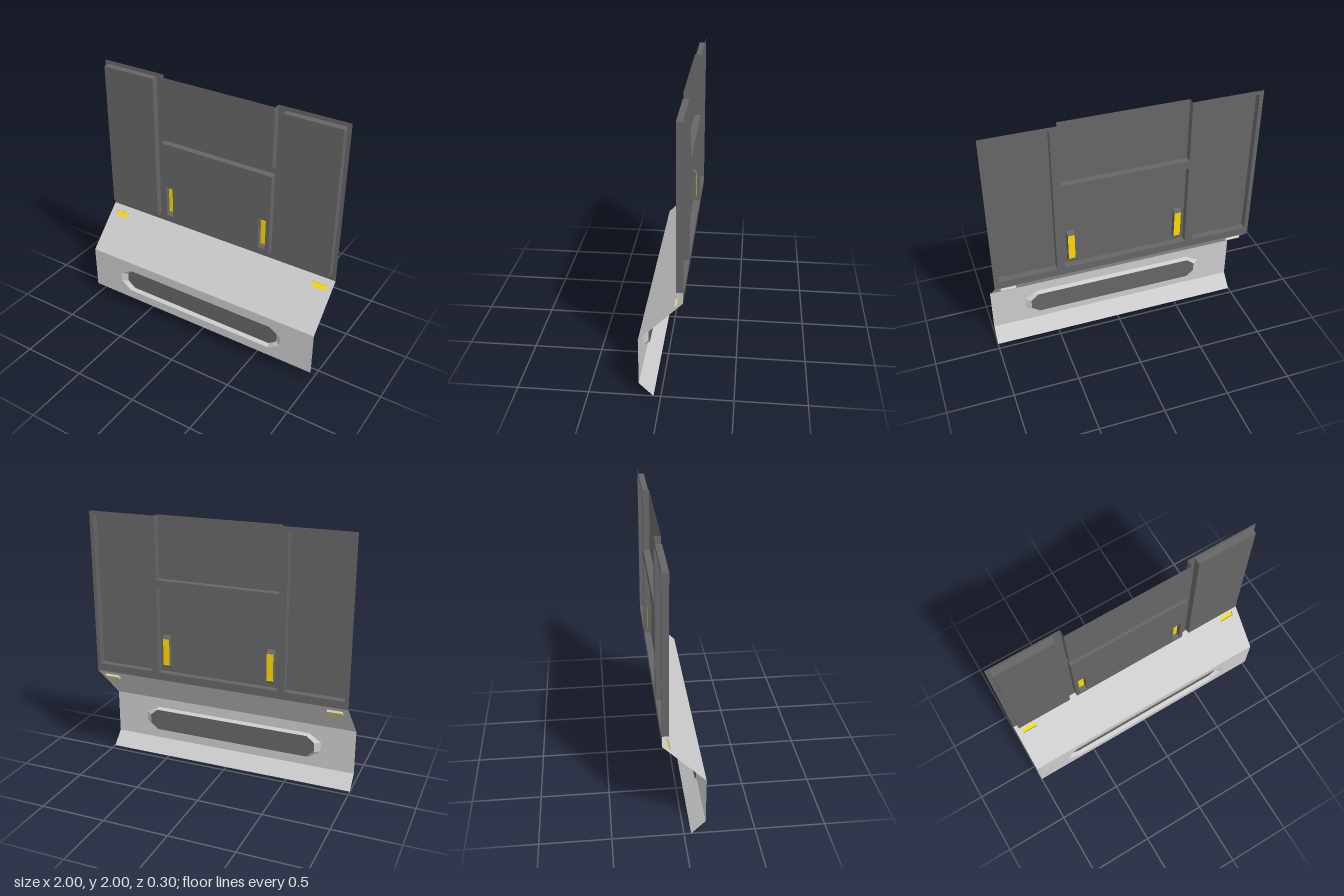
import * as THREE from 'three';

const paint = (color) => new THREE.MeshStandardMaterial({ color, side: THREE.DoubleSide });

// Corner lists in the plane of a sheet, counter-clockwise
const rect = (x0, y0, x1, y1) => [[x0, y0], [x1, y0], [x1, y1], [x0, y1]];
const octagon = (w, h, cutW, cutH, cy) => [
  [-w + cutW, cy - h], [w - cutW, cy - h], [w, cy - h + cutH], [w, cy + h - cutH],
  [w - cutW, cy + h], [-w + cutW, cy + h], [-w, cy + h - cutH], [-w, cy - h + cutH],
];
const vectors = (pts) => pts.map(([x, y]) => new THREE.Vector2(x, y));

// Thin flat sheet with openings
function sheet(name, outline, holes, material, z = 0) {
  const shape = new THREE.Shape(vectors(outline));
  holes.forEach((h) => shape.holes.push(new THREE.Path(vectors(h))));
  const mesh = new THREE.Mesh(new THREE.ShapeGeometry(shape), material);
  mesh.name = name;
  mesh.position.z = z;
  return mesh;
}

// Walls joining an opening at z0 to a second outline at z1; one edge may be left open
function walls(name, outer, inner, z0, z1, material, openEdge = -1) {
  const pos = [];
  outer.forEach((a, i) => {
    if (i === openEdge) return;
    const j = (i + 1) % outer.length;
    const A = [...a, z0], B = [...outer[j], z0], C = [...inner[j], z1], D = [...inner[i], z1];
    pos.push(...A, ...B, ...C, ...A, ...C, ...D);
  });
  const geo = new THREE.BufferGeometry();
  geo.setAttribute('position', new THREE.Float32BufferAttribute(pos, 3));
  geo.computeVertexNormals();
  const mesh = new THREE.Mesh(geo, material);
  mesh.name = name;
  return mesh;
}

export function createModel() {
  const model = new THREE.Group();
  model.name = 'wallPanel';
  const grey = paint(0xcccccc), dark = paint(0x666666), yellow = paint(0xffd900);

  const section = (name, y, z, tilt = 0) => {
    const g = new THREE.Group();
    g.name = name;
    g.position.set(0, y, z);
    g.rotation.x = tilt;
    model.add(g);
    return g;
  };

  // Upper wall: frame at the back with raised panels in front of it
  const upper = section('upperWall', 0, -0.15);
  const raise = 0.05;
  const sidePanels = [rect(-0.97, 0.81, -0.53, 1.97), rect(0.53, 0.81, 0.97, 1.97)];
  const lowerPanel = rect(-0.47, 0.81, 0.47, 1.47);
  const topPanel = rect(-0.47, 1.53, 0.47, 2);
  const frame = [[-1, 0.75], [1, 0.75], [1, 2], [0.47, 2], [0.47, 1.53], [-0.47, 1.53], [-0.47, 2], [-1, 2]];
  upper.add(sheet('upperFrame', frame, [...sidePanels, lowerPanel], dark));

  sidePanels.forEach((p) => {
    upper.add(sheet('sidePanel', p, [], dark, raise), walls('sidePanelEdge', p, p, 0, raise, dark));
  });
  upper.add(sheet('topPanel', topPanel, [], dark, raise));
  upper.add(walls('topPanelEdge', topPanel, topPanel, 0, raise, dark, 2));

  // Tall wall lights sunk into the lower centre panel
  const tallLights = [-0.41, 0.41].map((x) => [
    rect(x - 0.03, 0.845, x + 0.03, 1.1),
    rect(x - 0.025, 0.867, x + 0.025, 1.075),
  ]);
  upper.add(sheet('centrePanel', lowerPanel, tallLights.map((l) => l[0]), dark, raise));
  upper.add(walls('centrePanelEdge', lowerPanel, lowerPanel, 0, raise, dark));
  tallLights.forEach(([outer, inner]) => {
    upper.add(walls('tallLightRecess', outer, inner, raise, raise - 0.03, dark));
    upper.add(sheet('tallLight', inner, [], yellow, raise - 0.03));
  });

  // Sloping ledge with two small sunken lights
  const ledge = section('slopedLedge', 0.45, 0.15, -Math.PI / 4);
  const ledgeLights = [-0.895, 0.895].map((x) => rect(x - 0.057, 0.335, x + 0.057, 0.373));
  ledge.add(sheet('ledgeSheet', rect(-1, 0, 1, 0.3 * Math.SQRT2), ledgeLights, grey));
  ledgeLights.forEach((l) => {
    ledge.add(walls('ledgeLightRecess', l, l, 0, -0.017, grey));
    ledge.add(sheet('ledgeLight', l, [], yellow, -0.017));
  });

  // Upright lower face with a long eight-sided recess
  const lower = section('lowerFace', 0, 0.15);
  const mouth = octagon(0.735, 0.1, 0.095, 0.062, 0.272);
  const floor = octagon(0.69, 0.086, 0.06, 0.05, 0.272);
  lower.add(sheet('lowerSheet', rect(-1, 0.1, 1, 0.45), [mouth], grey));
  lower.add(walls('ventRecess', mouth, floor, 0, -0.03, grey));
  lower.add(sheet('ventBack', floor, [], dark, -0.03));

  // Foot strip folding back under the lower face
  const foot = section('footStrip', 0, 0.05, Math.PI / 4);
  foot.add(sheet('footSheet', rect(-1, 0, 1, 0.1 * Math.SQRT2), [], grey));

  return model;
}
